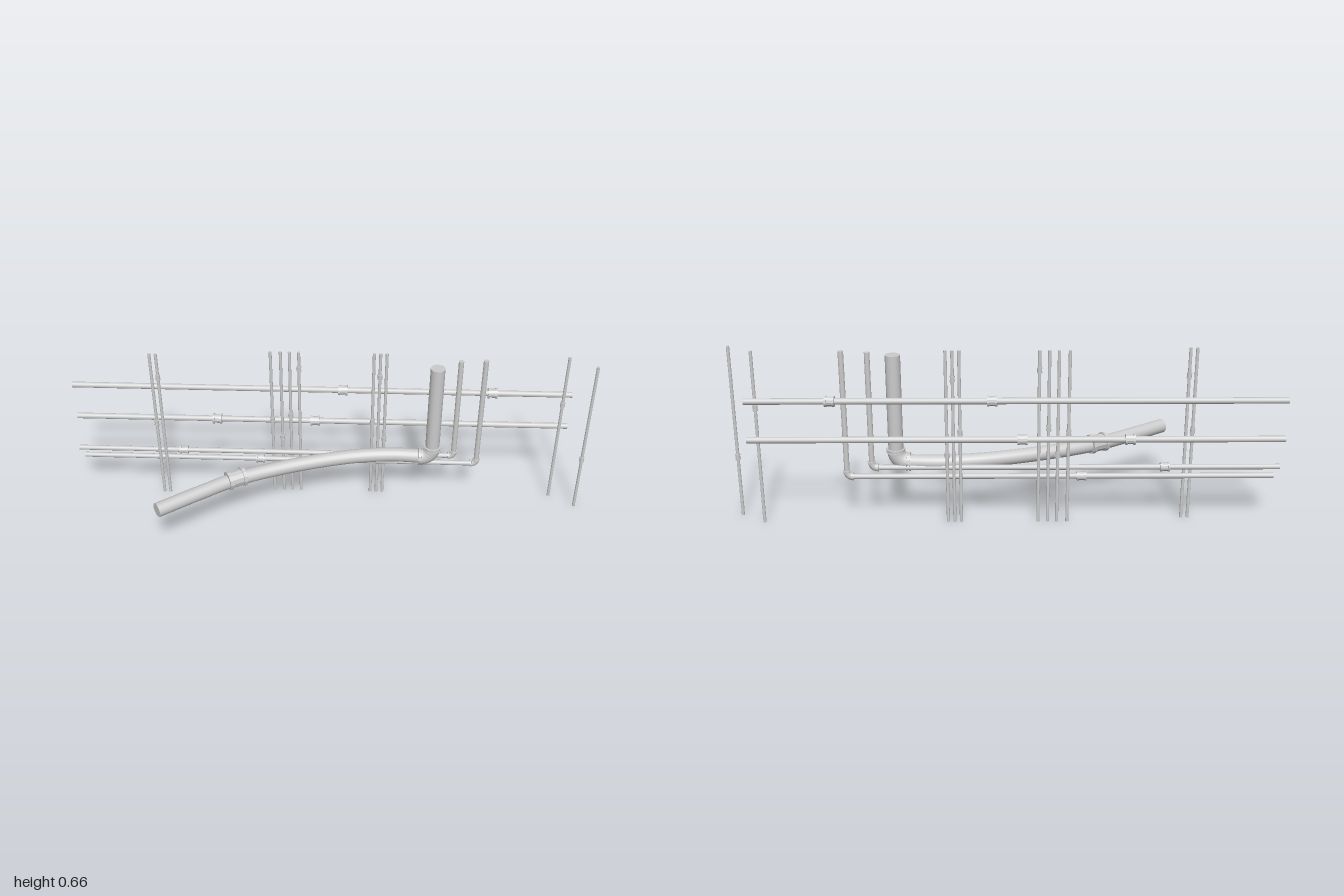
import * as THREE from 'three';

const smooth = new THREE.MeshStandardMaterial({ color: 0xcccccc });
const faceted = new THREE.MeshStandardMaterial({ color: 0xcccccc, flatShading: true });
const UP = new THREE.Vector3(0, 1, 0);
const V = (x, y, z) => new THREE.Vector3(x, y, z);

export function createModel() {
  const model = new THREE.Group();

  function add(geometry, material, name) {
    const mesh = new THREE.Mesh(geometry, material);
    mesh.name = name;
    model.add(mesh);
    return mesh;
  }

  // Straight capped pipe between two points
  function pipe(a, b, r, name) {
    const mesh = add(new THREE.CylinderGeometry(r, r, a.distanceTo(b), 16), smooth, name);
    mesh.position.copy(a).lerp(b, 0.5);
    mesh.quaternion.setFromUnitVectors(UP, b.clone().sub(a).normalize());
  }

  // Coupling: a sleeve with a raised rim at both ends
  function coupling(center, dir, r, length, name) {
    const h = length / 2, rim = length * 0.2, body = r * 0.88;
    const profile = [
      [0, -h], [r, -h], [r, -h + rim], [body, -h + rim],
      [body, h - rim], [r, h - rim], [r, h], [0, h],
    ].map(([x, y]) => new THREE.Vector2(x, y));
    const mesh = add(new THREE.LatheGeometry(profile, 12), faceted, name);
    mesh.position.copy(center);
    mesh.quaternion.setFromUnitVectors(UP, dir.clone().normalize());
  }

  // Elbow turning from +x to +y, with a rim at each mouth
  function elbow(x, y, z, bend, r, name) {
    const turn = add(new THREE.TorusGeometry(bend, r, 14, 10, Math.PI / 2), smooth, name);
    turn.rotation.z = -Math.PI / 2;
    turn.position.set(x - bend, y + bend, z);
    const rim = r * 0.45;
    coupling(V(x - bend, y, z), V(1, 0, 0), r * 1.1, rim, name + 'SideRim');
    coupling(V(x, y + bend, z), UP, r * 1.1, rim, name + 'TopRim');
  }

  // Thin upright pipes: x, z, coupling height
  const uprights = [
    [-0.675, -0.167, 0.345], [-0.651, -0.167, 0.555],
    [-0.224, -0.199, 0.35], [-0.186, -0.199, 0.265], [-0.152, -0.199, 0.37], [-0.117, -0.199, 0.585],
    [0.166, -0.199, 0.35], [0.19, -0.199, 0.555], [0.214, -0.199, 0.265],
    [0.892, -0.199, 0.447], [0.986, -0.136, 0.235],
  ];
  for (const [x, z, y] of uprights) {
    pipe(V(x, 0, z), V(x, 0.657, z), 0.0058, 'uprightPipe');
    coupling(V(x, y, z), UP, 0.0098, 0.021, 'uprightCoupling');
  }

  // Long straight wall pipes: height, coupling positions
  for (const [y, xs] of [[0.478, [0.05, 0.624]], [0.332, [-0.444, -0.058]]]) {
    pipe(V(-1, y, -0.22), V(0.927, y, -0.22), 0.0115, 'wallPipe');
    for (const x of xs) coupling(V(x, y, -0.22), V(1, 0, 0), 0.02, 0.036, 'wallCoupling');
  }

  // Low pipes that turn upward: start x, corner x, height, top, coupling x
  for (const [x0, x1, y, top, cx] of [[-1, 0.49, 0.207, 0.645, -0.58], [-0.98, 0.582, 0.172, 0.65, -0.276]]) {
    const z = -0.177, bend = 0.021;
    pipe(V(x0, y, z), V(x1 - bend, y, z), 0.01, 'lowPipe');
    pipe(V(x1, y + bend, z), V(x1, top, z), 0.01, 'risingPipe');
    elbow(x1, y, z, bend, 0.0135, 'lowElbow');
    coupling(V(cx, y, z), V(1, 0, 0), 0.017, 0.034, 'lowCoupling');
  }

  // Large curved main with capped end
  const R = 0.0275, Y = 0.22, Z = -0.151, X = 0.403, bend = 0.045;
  const path = new THREE.CatmullRomCurve3([
    [-0.623, 0.217], [-0.48, 0.111], [-0.35, 0.022], [-0.18, -0.056],
    [0, -0.116], [0.12, -0.144], [0.25, -0.158], [X - bend, Z - 0.002],
  ].map(([x, z]) => V(x, Y, z)));
  add(new THREE.TubeGeometry(path, 60, R, 20), smooth, 'mainPipe');
  const cap = add(new THREE.CircleGeometry(R, 20), smooth, 'mainPipeCap');
  cap.position.copy(path.getPoint(0));
  cap.lookAt(cap.position.clone().sub(path.getTangent(0)));

  // Main coupling, elbow and riser
  const t = 2 / 7;
  coupling(path.getPoint(t).setY(0.224), path.getTangent(t), 0.037, 0.072, 'mainCoupling');
  elbow(X, Y, Z, bend, 0.0325, 'mainElbow');
  pipe(V(X, Y + bend, Z), V(X, 0.628, Z), R, 'mainRiser');

  return model;
}
